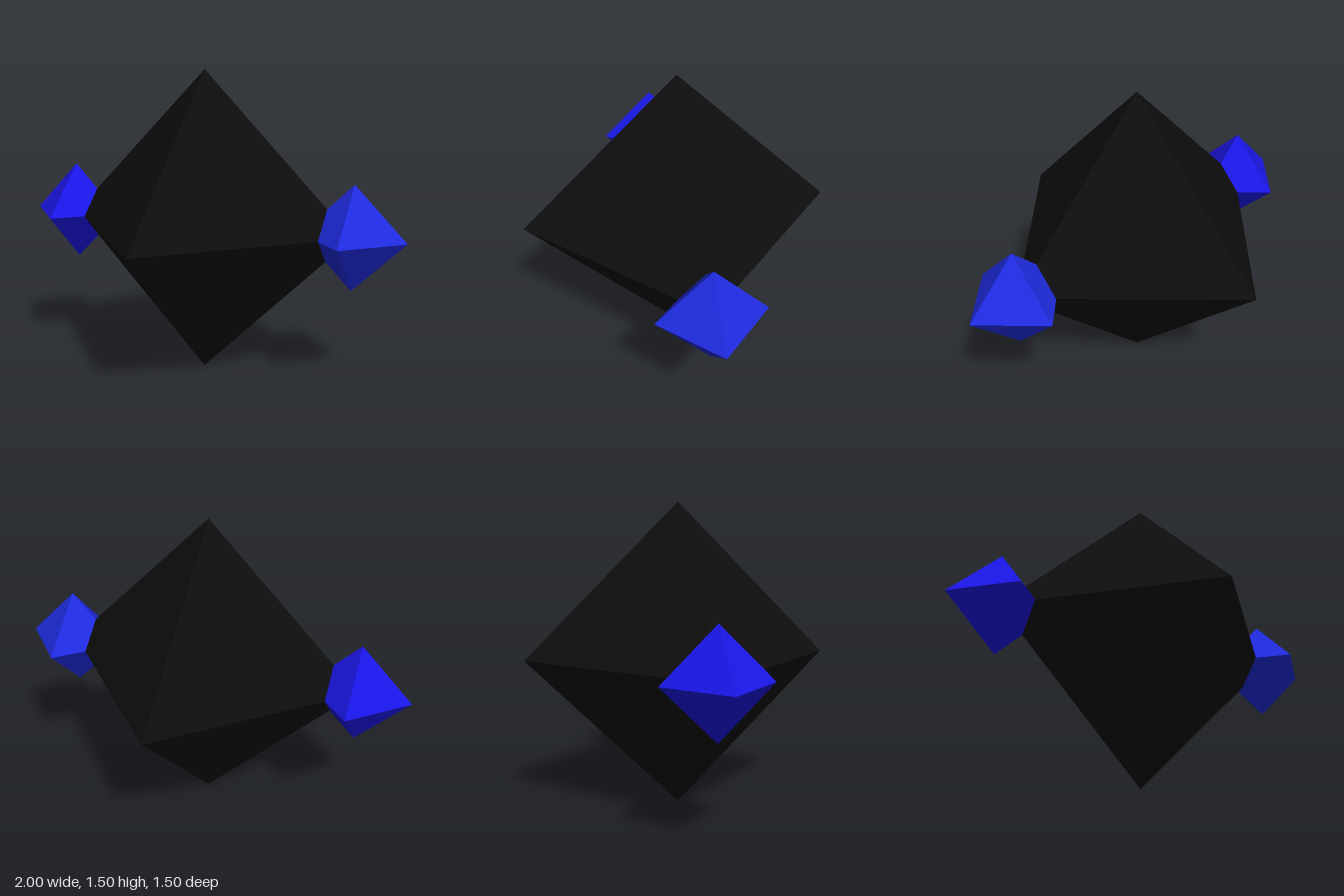
import * as THREE from 'three';

export function createModel() {
  const group = new THREE.Group();

  // Faceted eight-sided gem, centred at mid height
  function gem(name, radius, x, color) {
    const mesh = new THREE.Mesh(
      new THREE.OctahedronGeometry(radius),
      new THREE.MeshStandardMaterial({ color, flatShading: true })
    );
    mesh.name = name;
    mesh.position.set(x, 0.75, 0);
    group.add(mesh);
  }

  // Large dark body with a small blue gem sunk into each side tip
  gem('body', 0.75, 0, 0x0d0d0d);
  gem('leftGem', 0.25, 0.75, 0x1f2be0);
  gem('rightGem', 0.25, -0.75, 0x1a16e6);

  return group;
}
